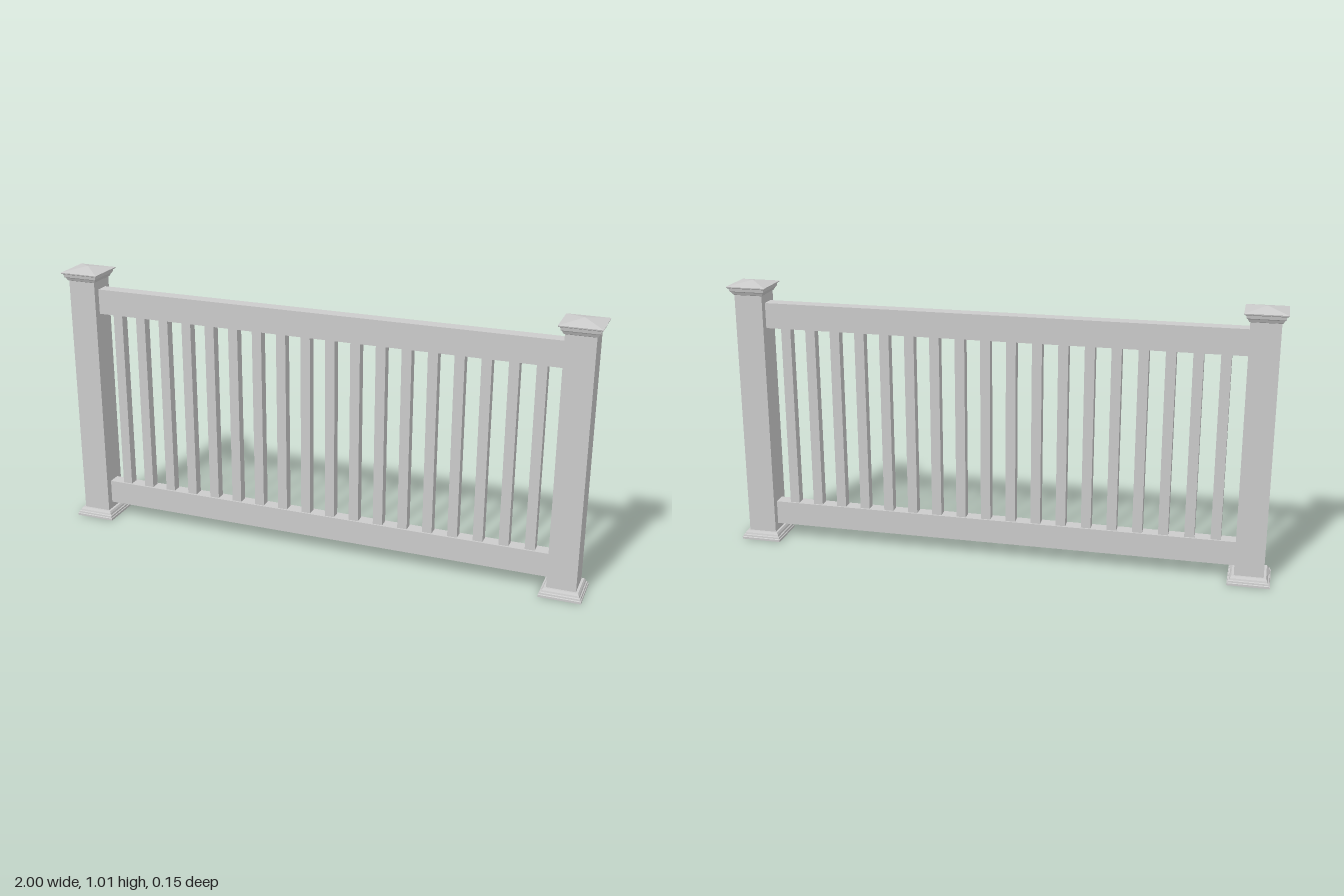
import * as THREE from 'three';

const material = new THREE.MeshStandardMaterial({ color: 0xcccccc, flatShading: true });

const POST_X = 0.924, POST_HALF = 0.0525;
const RAIL_LENGTH = 2 * (POST_X - POST_HALF);

function box(name, width, bottom, top, depth, x = 0) {
  const mesh = new THREE.Mesh(new THREE.BoxGeometry(width, top - bottom, depth), material);
  mesh.name = name;
  mesh.position.set(x, (bottom + top) / 2, 0);
  return mesh;
}

// Square moulding: a four-sided lathe of [half width, height] points
function moulding(name, profile) {
  const points = profile.map(([half, y]) => new THREE.Vector2(half * Math.SQRT2, y));
  const mesh = new THREE.Mesh(new THREE.LatheGeometry(points, 4, Math.PI / 4), material);
  mesh.name = name;
  return mesh;
}

function createPost(name, x) {
  const post = new THREE.Group();
  post.name = name;
  post.position.x = x;
  post.add(box('postShaft', POST_HALF * 2, 0.012, 0.965, POST_HALF * 2));
  // Stepped skirt, open underneath around the shaft
  post.add(moulding('postBase', [
    [0.0525, 0.014], [0.06, 0], [0.076, 0], [0.076, 0.008], [0.073, 0.01],
    [0.072, 0.016], [0.068, 0.018], [0.066, 0.024], [0.061, 0.031], [0.0525, 0.031],
  ]));
  // Stepped cap with a low pyramid on top
  post.add(moulding('postCap', [
    [0.0525, 0.958], [0.056, 0.96], [0.061, 0.97], [0.065, 0.973], [0.067, 0.984],
    [0.073, 0.987], [0.074, 0.991], [0, 1.006],
  ]));
  return post;
}

export function createModel() {
  const model = new THREE.Group();
  model.name = 'railingPanel';

  model.add(createPost('leftPost', POST_X), createPost('rightPost', -POST_X));

  // Rails between the posts
  model.add(box('bottomRail', RAIL_LENGTH, 0.057, 0.147, 0.05));
  model.add(box('topRail', RAIL_LENGTH, 0.833, 0.927, 0.05));

  // Evenly spaced balusters
  const count = 18, spacing = 0.094;
  for (let i = 0; i < count; i++) {
    const x = (i - (count - 1) / 2) * spacing;
    model.add(box('baluster', 0.036, 0.147, 0.833, 0.036, x));
  }
  return model;
}
